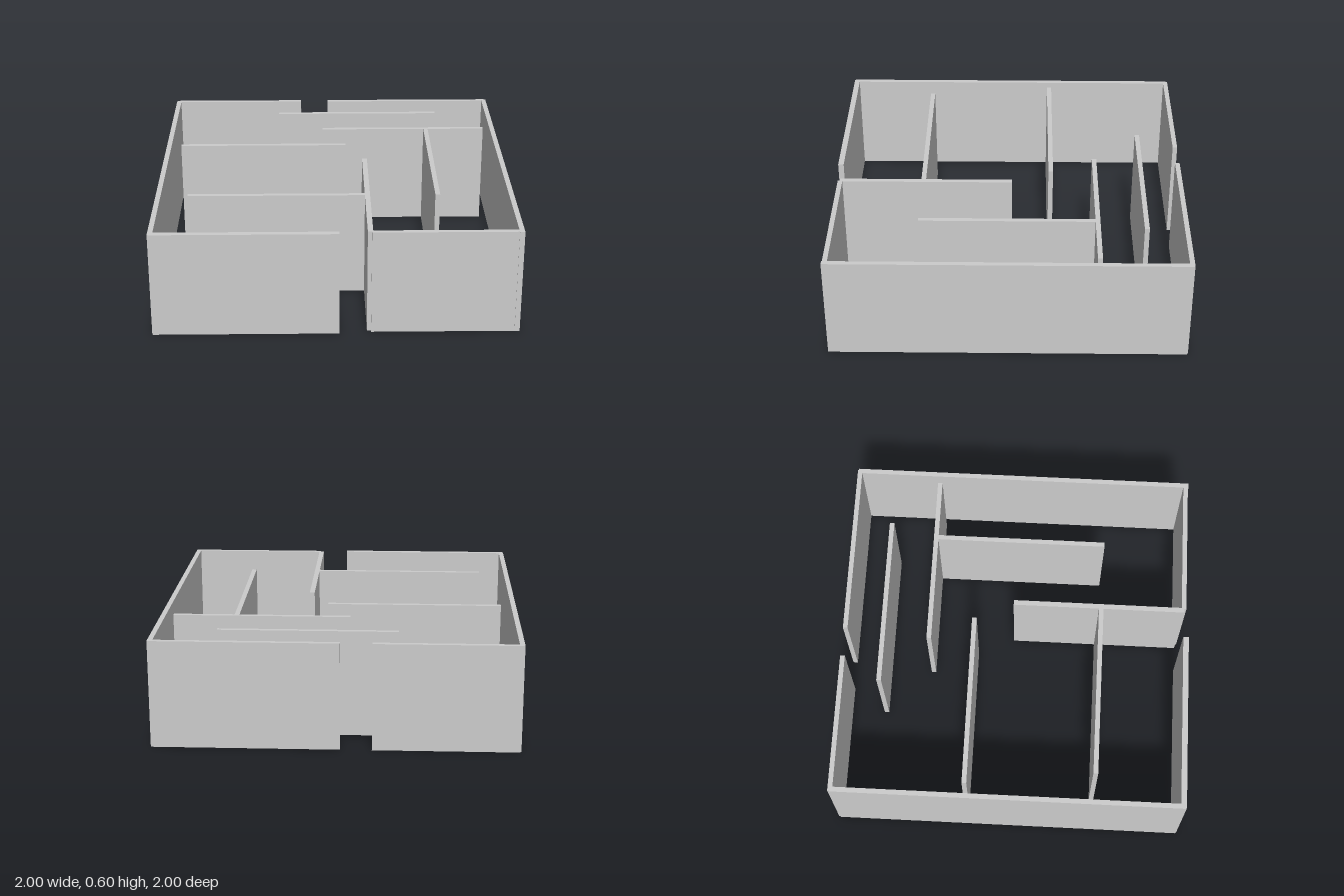
import * as THREE from 'three';

const HEIGHT = 0.6;

// Each wall: name, x from, x to, z from, z to
const WALLS = [
  // outer shell, with a doorway in the front and in the back
  ['outerWallRight', -1, -0.972, -0.99, 0.995],
  ['outerWallLeft', 0.972, 1, -0.995, 0.988],
  ['backWallRight', -0.995, -0.197, -1, -0.973],
  ['backWallLeft', -0.025, 0.99, -1, -0.973],
  ['frontWallRight', -0.995, 0.016, 0.968, 1],
  ['frontWallLeft', 0.19, 0.99, 0.957, 0.984],
  // partitions running across
  ['partitionBack', -0.335, 0.653, -0.781, -0.754],
  ['partitionBackLeft', -0.063, 0.93, -0.513, -0.486],
  ['partitionMiddleRight', -0.914, 0.075, -0.257, -0.23],
  ['partitionFrontRight', -0.823, 0.168, 0.476, 0.503],
  // partitions running front to back
  ['partitionEntrance', 0.167, 0.196, -0.02, 0.972],
  ['partitionLeft', 0.561, 0.588, -0.49, 0.497],
];

export function createModel() {
  const model = new THREE.Group();
  model.name = 'mazeWalls';
  const material = new THREE.MeshStandardMaterial({ color: 0xcccccc });

  for (const [name, x0, x1, z0, z1] of WALLS) {
    const wall = new THREE.Mesh(new THREE.BoxGeometry(x1 - x0, HEIGHT, z1 - z0), material);
    wall.position.set((x0 + x1) / 2, HEIGHT / 2, (z0 + z1) / 2);
    wall.name = name;
    model.add(wall);
  }
  return model;
}
